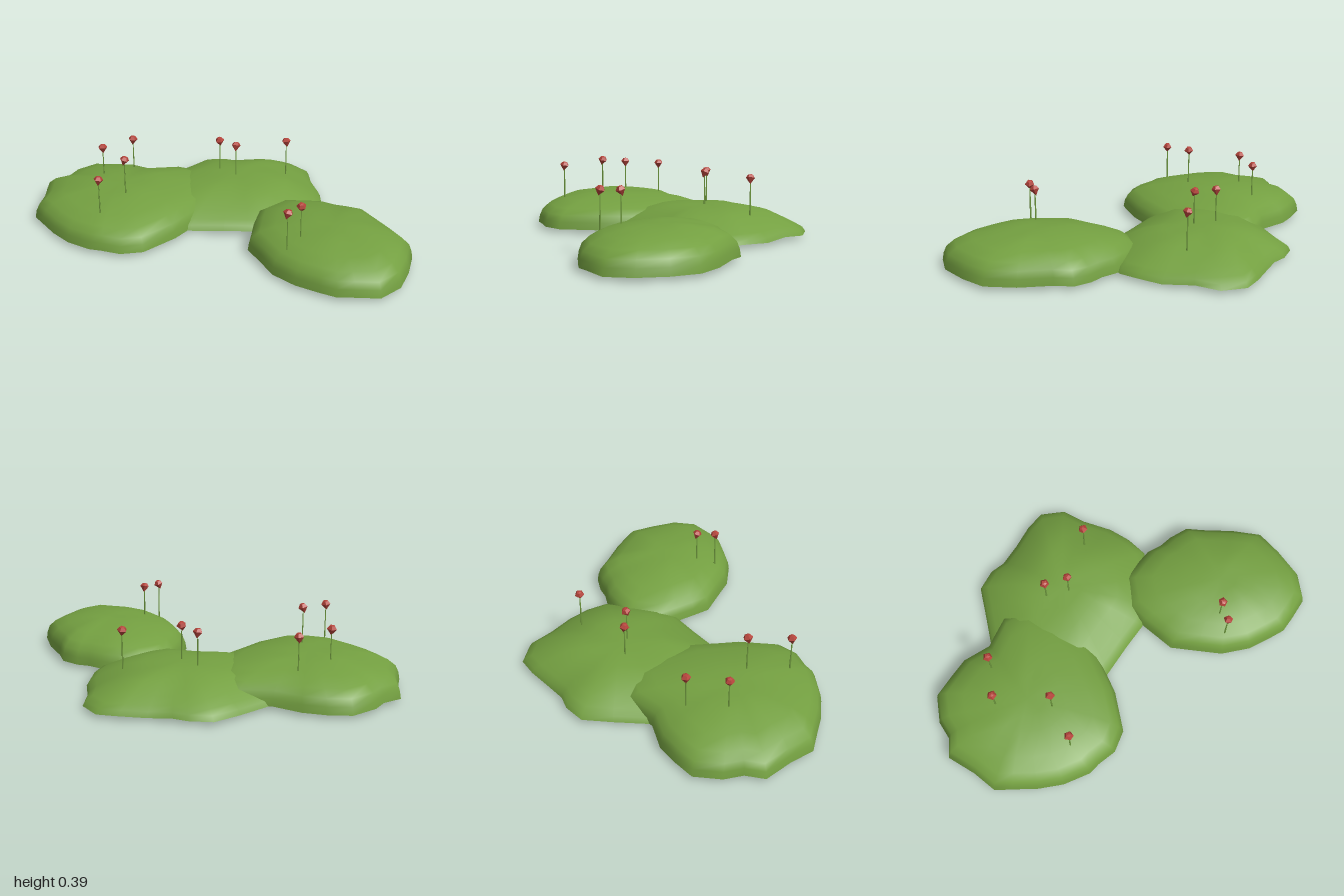
import * as THREE from 'three';
import { mergeVertices } from 'three/addons/utils/BufferGeometryUtils.js';

const grass = new THREE.MeshStandardMaterial({ color: 0x74a041 });
grass.name = 'leaf green';
const petal = new THREE.MeshStandardMaterial({ color: 0xb5443b, flatShading: true });
petal.name = 'flower red';

// Skin of rings: each ring is the outline scaled about the centre at a height.
function skin(outline, [cx, cz], rings, bump) {
  const n = outline.length, pos = [], index = [];
  rings.forEach(([s, y]) => {
    outline.forEach(([x, z]) => {
      const px = cx + (x - cx) * s, pz = cz + (z - cz) * s;
      const wave = Math.sin(px * 17 + pz * 9) * Math.cos(pz * 15 - px * 5);
      pos.push(px, y + bump * wave * Math.min(1, s * 3), pz);
    });
  });
  for (let r = 0; r < rings.length - 1; r++) {
    for (let i = 0; i < n; i++) {
      const j = (i + 1) % n, a = r * n + i, b = r * n + j, c = a + n, d = b + n;
      if (rings[r][0] > 0) index.push(a, c, b);
      if (rings[r + 1][0] > 0) index.push(b, c, d);
      else if (rings[r][0] > 0) index[index.length - 2] = c;
    }
  }
  let g = new THREE.BufferGeometry();
  g.setAttribute('position', new THREE.Float32BufferAttribute(pos, 3));
  g.setIndex(index);
  g = mergeVertices(g, 1e-5);
  g.computeVertexNormals();
  return g;
}

const underside = [[0, 0.01], [0.5, 0.012], [0.85, 0.018], [1, 0.027]];
const dome = [[1, 0.027], [0.985, 0.065], [0.95, 0.1], [0.86, 0.133], [0.68, 0.163], [0.4, 0.185], [0.2, 0.19], [0, 0.191]];
const slope = [[1, 0.027], [0.97, 0.052], [0.9, 0.073], [0.79, 0.1], [0.6, 0.14], [0.4, 0.162], [0.2, 0.168], [0, 0.17]];

const mounds = [
  { name: 'frontMound', centre: [-0.53, 0.33], profile: dome, outline: [
    [-1, 0.2], [-0.92, 0.11], [-0.84, 0.03], [-0.7, -0.03], [-0.6, -0.18], [-0.45, -0.25], [-0.28, -0.15],
    [-0.15, 0.05], [-0.11, 0.21], [-0.08, 0.32], [-0.07, 0.53], [-0.13, 0.63], [-0.22, 0.68], [-0.27, 0.72],
    [-0.41, 0.755], [-0.54, 0.757], [-0.67, 0.74], [-0.76, 0.73], [-0.85, 0.63], [-0.97, 0.53], [-0.96, 0.43], [-1, 0.34]] },
  { name: 'backMound', centre: [-0.27, -0.25], profile: slope, outline: [
    [-0.69, -0.05], [-0.7, -0.22], [-0.71, -0.37], [-0.64, -0.46], [-0.57, -0.5], [-0.49, -0.59], [-0.41, -0.69],
    [-0.33, -0.762], [-0.2, -0.76], [-0.1, -0.68], [0.04, -0.61], [0.13, -0.53], [0.2, -0.44], [0.21, -0.25],
    [0.19, -0.1], [0.12, -0.02], [0.02, 0.08], [-0.1, 0.21], [-0.22, 0.33], [-0.4, 0.36], [-0.58, 0.25], [-0.68, 0.08]] },
  { name: 'sideMound', centre: [0.56, -0.17], profile: dome, outline: [
    [0.12, -0.03], [0.05, -0.12], [0.05, -0.28], [0.14, -0.37], [0.21, -0.43], [0.29, -0.46], [0.35, -0.5],
    [0.44, -0.535], [0.53, -0.51], [0.7, -0.48], [0.85, -0.43], [0.93, -0.31], [1, -0.17], [1, -0.03],
    [0.92, 0.06], [0.86, 0.12], [0.78, 0.15], [0.66, 0.19], [0.51, 0.195], [0.38, 0.16], [0.25, 0.12], [0.19, 0.05]] },
];

// Flower heads: x, height, z
const flowers = [
  [-0.12, 0.325, -0.495], [-0.36, 0.33, -0.22], [-0.24, 0.335, -0.232],
  [-0.69, 0.33, 0.128], [-0.69, 0.335, 0.328], [-0.41, 0.37, 0.385],
  [-0.347, 0.34, 0.59], [0.52, 0.33, 0.02], [0.53, 0.33, 0.12],
];

export function createModel() {
  const group = new THREE.Group();
  group.name = 'flowerPatch';

  // Grassy mounds, with a creased lower rim
  mounds.forEach(({ name, centre, profile, outline }) => {
    const mound = new THREE.Group();
    mound.name = name;
    const top = new THREE.Mesh(skin(outline, centre, profile, 0.004), grass);
    top.name = name + 'Top';
    const base = new THREE.Mesh(skin(outline, centre, underside, 0.004), grass);
    base.name = name + 'Underside';
    mound.add(top, base);
    group.add(mound);
  });

  // Faceted buds on thin tapered stems
  const profile = [[0, -0.027], [0.025, 0.006], [0.014, 0.022], [0, 0.025]].map(p => new THREE.Vector2(...p));
  const budGeometry = new THREE.LatheGeometry(profile, 5);
  flowers.forEach(([x, y, z], i) => {
    const flower = new THREE.Group();
    flower.name = 'flower';
    const height = y - 0.12;
    const stem = new THREE.Mesh(new THREE.CylinderGeometry(0.0025, 0.005, height, 4), grass);
    stem.name = 'stem';
    stem.position.y = -height / 2;
    const bud = new THREE.Mesh(budGeometry, petal);
    bud.name = 'bud';
    bud.rotation.set(0.25 * Math.sin(i * 2.1), i * 1.3, 0.25 * Math.cos(i * 1.7));
    flower.add(stem, bud);
    flower.position.set(x, y, z);
    group.add(flower);
  });
  return group;
}
